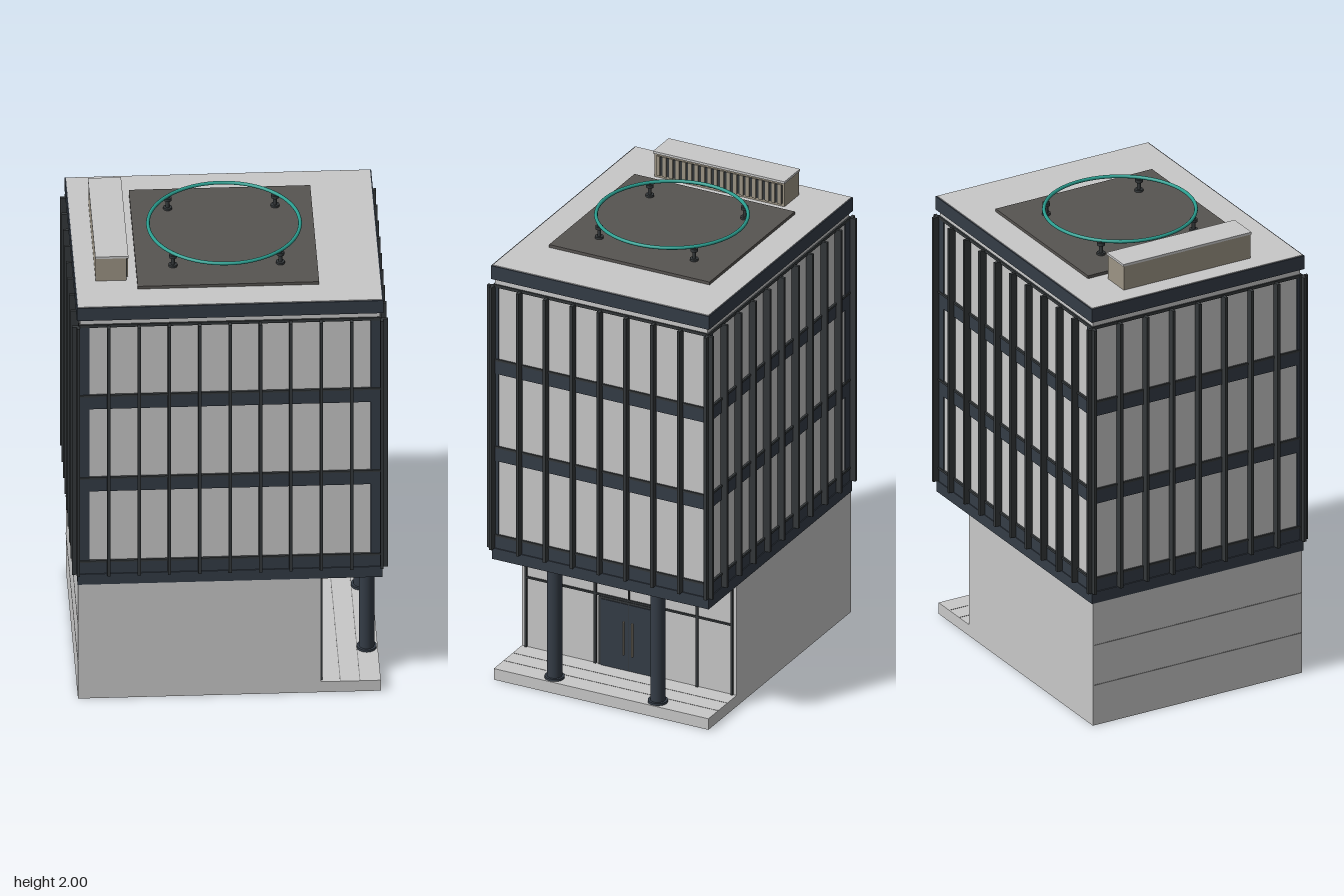
import * as THREE from 'three';

export function createModel() {
  const model = new THREE.Group();
  model.name = 'officeBuilding';
  const mat = (name, color) => {
    const m = new THREE.MeshStandardMaterial({ color });
    m.name = name;
    return m;
  };
  const pale = mat('paleGrey', 0xc8c8c8);
  const steel = mat('darkSteel', 0x343c46);
  const fin = mat('charcoal', 0x34383a);
  const taupe = mat('taupe', 0x9c9484);
  const deck = mat('deckBrown', 0x575451);
  const teal = mat('teal', 0x2a9d8f);
  const seam = mat('seamGrey', 0x858585);

  const add = (name, geo, material, x = 0, y = 0, z = 0) => {
    const mesh = new THREE.Mesh(geo, material);
    mesh.name = name;
    mesh.position.set(x, y, z);
    model.add(mesh);
    return mesh;
  };
  // Box given by its limits on each axis
  const box = (name, m, x0, x1, y0, y1, z0, z1) =>
    add(name, new THREE.BoxGeometry(x1 - x0, y1 - y0, z1 - z0), m,
      (x0 + x1) / 2, (y0 + y1) / 2, (z0 + z1) / 2);
  const cyl = (name, m, r, y0, y1, x, z, n = 24) =>
    add(name, new THREE.CylinderGeometry(r, r, y1 - y0, n), m, x, (y0 + y1) / 2, z);

  // Ground floor and porch slab
  box('baseSlab', pale, -0.62, 0.615, 0, 0.05, -0.495, 0.495);
  box('groundFloor', pale, -0.62, 0.37, 0.05, 0.55, -0.495, 0.495);
  for (const y of [0.18, 0.36]) box('wallSeam', seam, -0.6215, -0.6, y - 0.002, y + 0.002, -0.49, 0.49);
  for (const x of [0.45, 0.53]) box('pavingJoint', seam, x - 0.0015, x + 0.0015, 0.049, 0.051, -0.49, 0.49);

  // Entrance glazing bars, doors and handles
  for (const z of [-0.475, -0.315, -0.155, 0.155, 0.315, 0.475])
    box('entranceMullion', fin, 0.365, 0.378, 0.05, 0.55, z - 0.005, z + 0.005);
  box('entranceMullion', fin, 0.365, 0.378, 0.365, 0.55, -0.003, 0.003);
  box('entranceTransom', fin, 0.365, 0.377, 0.362, 0.37, -0.475, 0.475);
  box('doorFrame', fin, 0.365, 0.376, 0.05, 0.36, -0.138, 0.138);
  for (const s of [-1, 1]) {
    box('doorLeaf', steel, 0.365, 0.379, 0.05, 0.35, s * 0.065 - 0.063, s * 0.065 + 0.063);
    box('doorHandle', taupe, 0.379, 0.388, 0.12, 0.27, s * 0.02 - 0.003, s * 0.02 + 0.003);
    // Porch columns
    cyl('porchColumn', steel, 0.031, 0.05, 0.55, 0.57, s * 0.238);
    cyl('columnFoot', steel, 0.041, 0.05, 0.06, 0.57, s * 0.238);
  }

  // Porch ceiling with lights
  box('porchCeiling', fin, 0.37, 0.52, 0.538, 0.56, -0.47, 0.47);
  for (const z of [-0.3, 0, 0.3])
    box('ceilingLight', taupe, 0.42, 0.49, 0.534, 0.54, z - 0.06, z + 0.06);

  // Upper storeys
  box('floorSlab', steel, -0.622, 0.622, 0.55, 0.6, -0.5, 0.5);
  box('glassVolume', pale, -0.612, 0.612, 0.6, 1.82, -0.49, 0.49);
  for (const [y0, y1] of [[0.6, 0.66], [0.995, 1.06], [1.39, 1.455]]) {
    box('spandrel', steel, -0.617, 0.617, y0, y1, -0.496, 0.496);
    box('spandrelCap', fin, -0.62, 0.62, y1 - 0.006, y1 + 0.003, -0.499, 0.499);
  }
  box('headRail', fin, -0.618, 0.618, 1.782, 1.795, -0.497, 0.497);
  for (const sx of [-1, 1]) for (const sz of [-1, 1])
    add('cornerPost', new THREE.BoxGeometry(0.042, 1.19, 0.022), steel, sx * 0.595, 1.195, sz * 0.484);

  // Vertical fins all around
  for (const s of [-1, 1]) {
    for (let i = -5; i <= 5; i++)
      add('facadeFin', new THREE.BoxGeometry(0.013, 1.19, 0.033), fin, i * 0.1238, 1.195, s * 0.504);
    for (let i = -4; i <= 4; i++)
      add('facadeFin', new THREE.BoxGeometry(0.033, 1.19, 0.013), fin, s * 0.628, 1.195, i * 0.1238);
  }

  // Roof
  box('roofEdge', steel, -0.625, 0.625, 1.82, 1.88, -0.503, 0.503);
  box('roofSurface', pale, -0.62, 0.62, 1.88, 1.883, -0.498, 0.498);
  box('roofDeck', deck, -0.37, 0.37, 1.88, 1.896, -0.37, 0.37);

  // Roof plant box with louvres
  box('plantBox', taupe, -0.538, -0.412, 1.88, 1.99, -0.3, 0.3);
  box('plantBoxLid', pale, -0.54, -0.405, 1.99, 2, -0.303, 0.303);
  box('louvreRecess', fin, -0.413, -0.409, 1.895, 1.98, -0.29, 0.29);
  for (let i = 0; i < 20; i++) {
    const z = -0.28 + i * 0.56 / 19;
    box('louvreSlat', taupe, -0.412, -0.405, 1.893, 1.982, z - 0.008, z + 0.008);
  }

  // Ring on four posts
  const ring = add('roofRing', new THREE.TorusGeometry(0.31, 0.0075, 10, 72), teal, 0, 1.957, 0);
  ring.rotation.x = Math.PI / 2;
  for (const sx of [-1, 1]) for (const sz of [-1, 1]) {
    cyl('ringPost', fin, 0.008, 1.89, 1.955, sx * 0.219, sz * 0.219, 12);
    cyl('ringPostFoot', fin, 0.018, 1.89, 1.905, sx * 0.219, sz * 0.219, 16);
    cyl('ringPostHead', fin, 0.016, 1.937, 1.95, sx * 0.219, sz * 0.219, 16);
  }

  return model;
}
